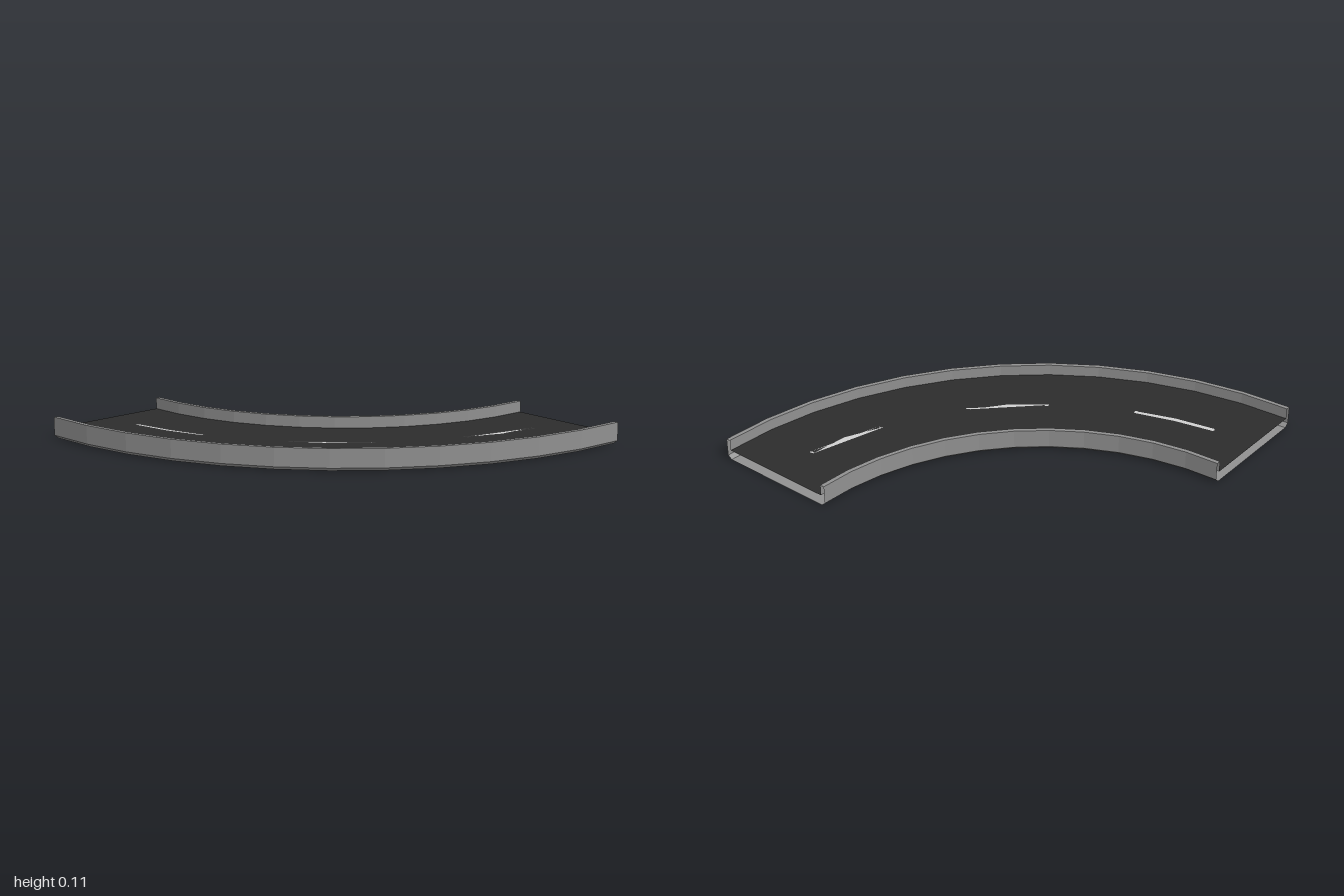
import * as THREE from 'three';

const SEGMENTS = 12;          // facets in the quarter turn
const ROAD_Y = 0.055, TOP_Y = 0.113;
const R_IN = 1.335, R_OUT = 2, WALL = 0.023;

const make = (name, color) => {
  const m = new THREE.MeshStandardMaterial({ color, flatShading: true, side: THREE.DoubleSide });
  m.name = name;
  return m;
};

// Sweeps a [radius, height] profile through the quarter turn about (1, -1)
function sweep(profile) {
  const points = profile.map(([r, y]) => new THREE.Vector2(r, y));
  const g = new THREE.LatheGeometry(points, SEGMENTS, -Math.PI / 2, Math.PI / 2).toNonIndexed();
  g.translate(1, 0, -1);
  g.computeVertexNormals();
  return g;
}

// Flat lane dash with round ends, bent once in the middle
function dashGeometry(startDeg, endDeg) {
  const r = 1.666, half = 0.012, pts = [];
  const at = (radius, deg) => {
    const a = THREE.MathUtils.degToRad(deg);
    return new THREE.Vector2(1 - radius * Math.cos(a), 1 - radius * Math.sin(a));
  };
  const cap = (deg, from) => {
    const c = at(r, deg), a0 = THREE.MathUtils.degToRad(from - deg);
    for (let i = 0; i <= 6; i++) {
      const a = a0 + (i / 6) * Math.PI;
      pts.push(new THREE.Vector2(c.x + half * Math.cos(a), c.y + half * Math.sin(a)));
    }
  };
  const mid = (startDeg + endDeg) / 2;
  // local +y of the shape becomes -z, so the turn runs downwards in y
  const flip = (deg) => -deg;
  const arc = (deg, from) => cap(deg, from + 2 * deg + 2 * flip(deg));
  arc(startDeg, 0);
  pts.push(at(r + half, mid));
  // far cap, drawn from the outer edge round to the inner edge
  arc(endDeg, 180);
  pts.push(at(r - half, mid));
  const g = new THREE.ShapeGeometry(new THREE.Shape(pts));
  g.rotateX(-Math.PI / 2);
  g.translate(0, ROAD_Y + 0.003, 0);
  return g;
}

export function createModel() {
  const group = new THREE.Group();
  group.name = 'curvedRoad';
  const concrete = make('concrete grey', 0x909090);
  const asphalt = make('asphalt', 0x2c2c2c);
  const paint = make('lane paint', 0xd0d0d0);
  const add = (name, geometry, material) => {
    const mesh = new THREE.Mesh(geometry, material);
    mesh.name = name;
    group.add(mesh);
  };

  // Hollow shell: both kerb walls, chamfered lower edges and underside, open at the ends
  add('kerbShell', sweep([
    [R_IN + WALL, ROAD_Y], [R_IN + WALL, TOP_Y], [R_IN, TOP_Y], [R_IN, 0.018], [R_IN + 0.02, 0],
    [R_OUT - 0.022, 0], [R_OUT, 0.018], [R_OUT, TOP_Y], [R_OUT - WALL, TOP_Y], [R_OUT - WALL, ROAD_Y],
  ]), concrete);

  // Driving surface between the walls
  add('roadSurface', sweep([[R_OUT - WALL, ROAD_Y], [R_IN + WALL, ROAD_Y]]), asphalt);

  // Three lane dashes
  for (let i = 0; i < 3; i++) add('laneDash' + (i + 1), dashGeometry(8 + 30 * i, 22 + 30 * i), paint);
  return group;
}
